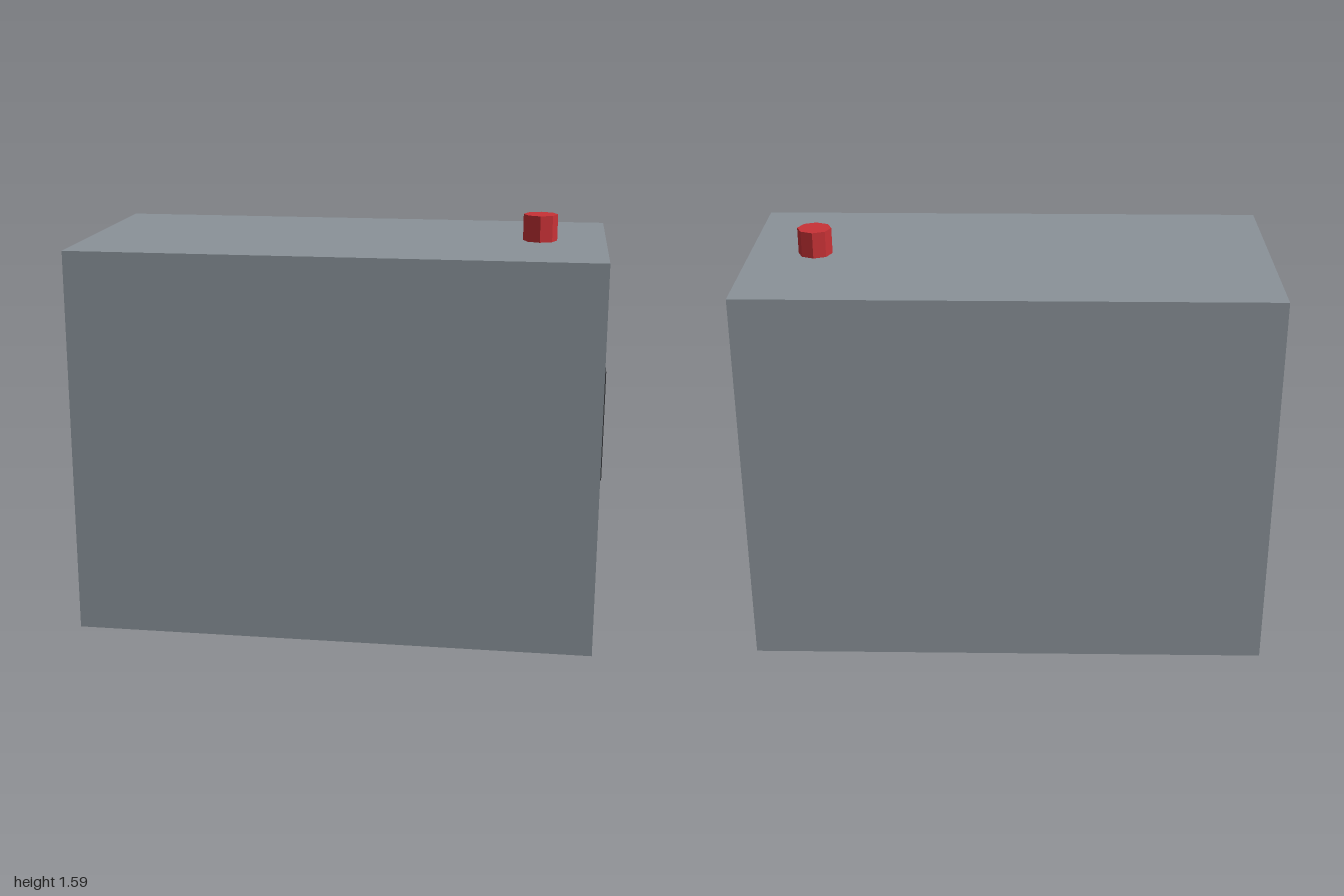
import * as THREE from 'three';

const HALF_LENGTH = 0.993;
const HALF_DEPTH = 0.495;
const HEIGHT = 1.49;
const TUNNEL_HALF = 0.413;
const TUNNEL_TOP = 1.078;

function material(color) {
  return new THREE.MeshStandardMaterial({ color, flatShading: true });
}

function addMesh(parent, name, geometry, mat, x, y, z) {
  const mesh = new THREE.Mesh(geometry, mat);
  mesh.name = name;
  mesh.position.set(x, y, z);
  parent.add(mesh);
  return mesh;
}

export function createModel() {
  const model = new THREE.Group();
  model.name = 'baggageScanner';
  const shellMat = material(0x8a9299);
  const beltMat = material(0x2b2e32);
  const flapMat = material(0x3c3e42);
  const beaconMat = material(0xc83236);

  // Housing: an upside-down U section run along x, leaving an open tunnel
  const section = new THREE.Shape([
    [-HALF_DEPTH, 0], [-TUNNEL_HALF, 0], [-TUNNEL_HALF, TUNNEL_TOP], [TUNNEL_HALF, TUNNEL_TOP],
    [TUNNEL_HALF, 0], [HALF_DEPTH, 0], [HALF_DEPTH, HEIGHT], [-HALF_DEPTH, HEIGHT],
  ].map(([x, y]) => new THREE.Vector2(x, y)));
  const shell = new THREE.ExtrudeGeometry(section, { depth: 2 * HALF_LENGTH, bevelEnabled: false });
  shell.translate(0, 0, -HALF_LENGTH).rotateY(Math.PI / 2);
  addMesh(model, 'housing', shell, shellMat, 0, 0, 0);

  // Conveyor bed filling the lower part of the tunnel
  addMesh(model, 'conveyorBed', new THREE.BoxGeometry(2 * HALF_LENGTH, 0.496, 2 * TUNNEL_HALF),
    beltMat, 0, 0.248, 0);

  // Five hanging curtain flaps at each mouth of the tunnel
  const flap = new THREE.BoxGeometry(0.014, 0.413, 0.149);
  for (const side of [-1, 1]) {
    const curtain = new THREE.Group();
    curtain.name = side > 0 ? 'leftCurtain' : 'rightCurtain';
    for (let i = -2; i <= 2; i++) {
      addMesh(curtain, 'curtainFlap', flap, flapMat, side * HALF_LENGTH, 0.8715, i * 0.1655);
    }
    model.add(curtain);
  }

  // Warning beacon on the roof
  addMesh(model, 'warningBeacon', new THREE.CylinderGeometry(0.065, 0.065, 0.1, 8),
    beaconMat, 0.742, HEIGHT + 0.05, 0);

  return model;
}
